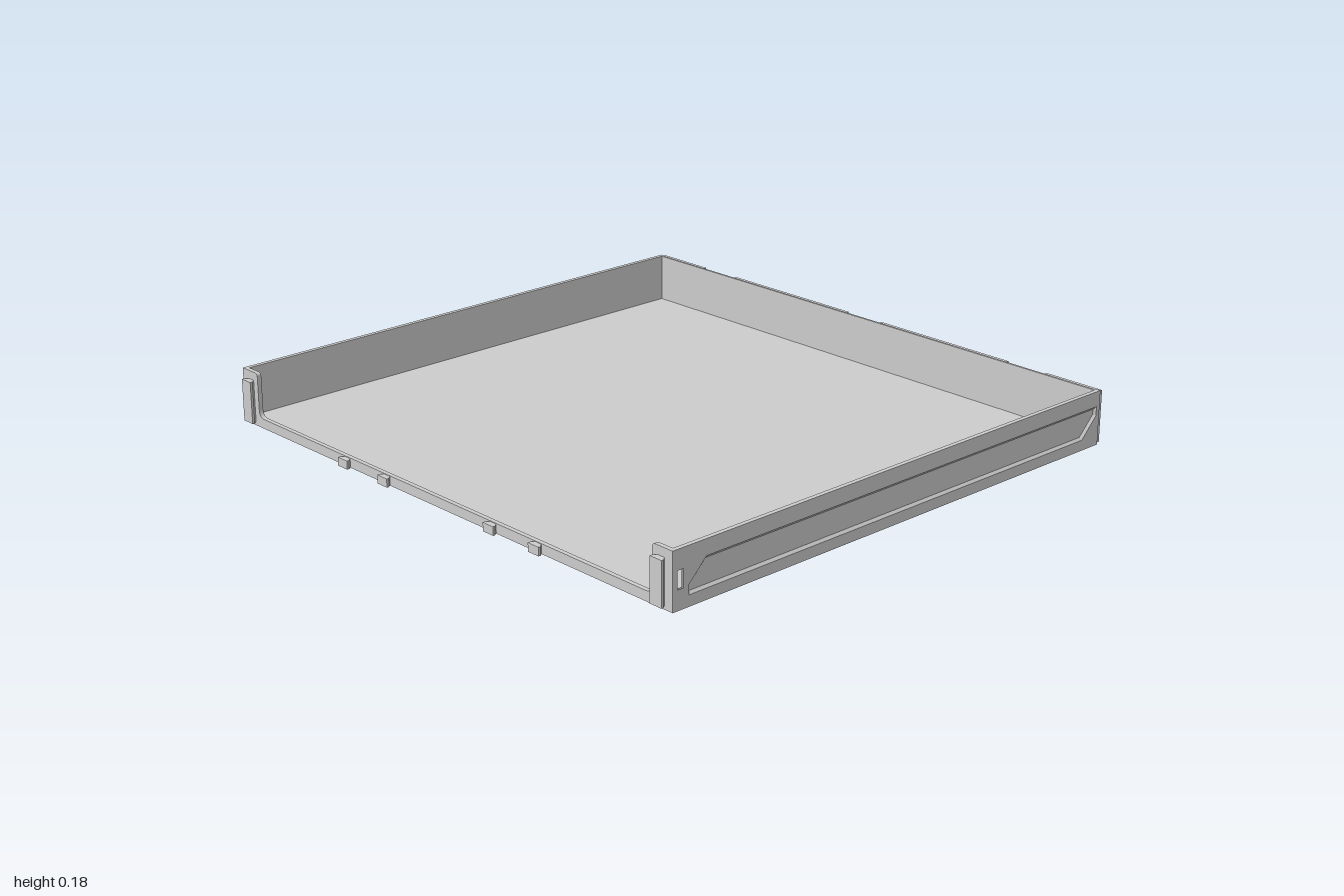
import * as THREE from 'three';

const grey = new THREE.MeshStandardMaterial({ color: 0xcccccc, flatShading: true });
const greyDouble = new THREE.MeshStandardMaterial({ color: 0xcccccc, flatShading: true, side: THREE.DoubleSide });

const H = 0.18; // wall height
const rect = (x0, y0, x1, y1) => [[x0, y0], [x1, y0], [x1, y1], [x0, y1]];
const toShape = (pts, Type = THREE.Shape) => new Type(pts.map(([x, y]) => new THREE.Vector2(x, y)));

function mesh(name, geometry, material = grey) {
  const m = new THREE.Mesh(geometry, material);
  m.name = name;
  return m;
}

// Flat plate from z0 to z1 with holes
function plate(name, outline, holes, z0, z1) {
  const shape = toShape(outline);
  holes.forEach((h) => shape.holes.push(toShape(h, THREE.Path)));
  const g = new THREE.ExtrudeGeometry(shape, { depth: z1 - z0, bevelEnabled: false });
  return mesh(name, g.translate(0, 0, z0));
}

// Sloped skirt from an outline at the surface to a smaller one at depth
function skirt(name, outer, inner, zOuter, zInner, openLast = false) {
  const pos = [];
  const n = outer.length;
  for (let i = 0; i < (openLast ? n - 1 : n); i++) {
    const j = (i + 1) % n;
    const a = [...outer[i], zOuter], b = [...outer[j], zOuter];
    const c = [...inner[j], zInner], d = [...inner[i], zInner];
    pos.push(...a, ...b, ...c, ...a, ...c, ...d);
  }
  const g = new THREE.BufferGeometry();
  g.setAttribute('position', new THREE.Float32BufferAttribute(pos, 3));
  g.computeVertexNormals();
  return mesh(name, g, greyDouble);
}

// Rectangle with cut corners: b for the bottom pair, t for the top pair
const cutRect = (x0, y0, x1, y1, b, t) => [
  [x0 + b, y0], [x1 - b, y0], [x1, y0 + b], [x1, y1 - t],
  [x1 - t, y1], [x0 + t, y1], [x0, y1 - t], [x0, y0 + b],
];

// Side wall with a long recessed panel and a slot near the front; local +z is outward
function sideWall(s) {
  const g = new THREE.Group();
  g.name = s > 0 ? 'leftWall' : 'rightWall';
  const flip = (pts) => pts.map(([z, y]) => [-s * z, y]);
  const outline = flip(rect(-0.915, 0, 0.91, H));
  const slot = flip(rect(0.87, 0.062, 0.892, 0.118));
  const panel = flip([[0.85, 0.035], [0.85, 0.065], [0.785, 0.13], [-0.9, 0.13], [-0.9, 0.1], [-0.835, 0.035]]);
  const inset = flip([[0.842, 0.043], [0.842, 0.062], [0.781, 0.121], [-0.893, 0.121], [-0.893, 0.103], [-0.832, 0.043]]);
  g.add(plate('wallInner', outline, [slot], 0.985, 0.992));
  g.add(plate('wallOuter', outline, [slot, panel], 0.992, 1));
  g.add(skirt('panelBevel', panel, inset, 1, 0.992));
  g.rotation.y = s * Math.PI / 2;
  return g;
}

// Back wall with four bevelled pockets and three upright grooves
function backWall() {
  const g = new THREE.Group();
  g.name = 'backWall';
  const zIn = 0.911, zOut = 0.93, y0 = 0.004, top = 0.176;
  const grooves = [-0.7, 0, 0.7];
  const outline = [[-0.995, y0], [0.995, y0], [0.995, top]];
  for (const x of [...grooves].reverse()) {
    outline.push([x + 0.08, top], [x + 0.08, 0.015], [x - 0.08, 0.015], [x - 0.08, top]);
    const wide = [[x - 0.08, top], [x - 0.08, 0.015], [x + 0.08, 0.015], [x + 0.08, top]];
    const narrow = [[x - 0.062, top], [x - 0.062, 0.02], [x + 0.062, 0.02], [x + 0.062, top]];
    g.add(skirt('grooveBevel', wide, narrow, zOut, zIn, true));
  }
  outline.push([-0.995, top]);
  const holes = [];
  for (const [x0, x1] of [[-0.975, -0.795], [-0.605, -0.095], [0.095, 0.605], [0.795, 0.975]]) {
    const outer = cutRect(x0, 0.018, x1, 0.162, 0.03, 0.008);
    const inner = cutRect(x0 + 0.016, 0.055, x1 - 0.016, 0.15, 0.03, 0.008);
    holes.push(outer);
    g.add(skirt('pocketBevel', outer, inner, zOut, zIn));
  }
  g.add(plate('backInner', rect(-0.985, 0, 0.985, H), [], 0.903, zIn));
  g.add(plate('backOuter', outline, holes, zIn, zOut));
  g.rotation.y = Math.PI;
  return g;
}

// Low front lip rising to a rounded post at each corner
function frontWall() {
  const w = 0.985, c = 0.92, lip = 0.032, r = 0.025;
  const s = new THREE.Shape();
  s.moveTo(-w, 0).lineTo(w, 0).lineTo(w, H).lineTo(c + 0.012, H);
  s.quadraticCurveTo(c, H, c, H - 0.012).lineTo(c, lip + r);
  s.quadraticCurveTo(c, lip, c - r, lip).lineTo(-c + r, lip);
  s.quadraticCurveTo(-c, lip, -c, lip + r).lineTo(-c, H - 0.012);
  s.quadraticCurveTo(-c, H, -c - 0.012, H).lineTo(-w, H).lineTo(-w, 0);
  const g = new THREE.ExtrudeGeometry(s, { depth: 0.015, bevelEnabled: false, curveSegments: 6 });
  return mesh('frontWall', g.translate(0, 0, 0.895));
}

// Dovetail clip, wider at its outer face
function clip(name, x, y0, y1) {
  const plan = toShape([[-0.013, 0], [0.013, 0], [0.023, -0.012], [0.023, -0.02], [-0.023, -0.02], [-0.023, -0.012]]);
  const g = new THREE.ExtrudeGeometry(plan, { depth: y1 - y0, bevelEnabled: false });
  g.rotateX(-Math.PI / 2);
  return mesh(name, g.translate(x, y0, 0.91));
}

export function createModel() {
  const tray = new THREE.Group();
  tray.name = 'tray';

  const floor = mesh('floor', new THREE.BoxGeometry(1.97, 0.018, 1.798));
  floor.position.set(0, 0.009, -0.004);
  tray.add(floor, sideWall(1), sideWall(-1), backWall(), frontWall());

  for (const s of [-1, 1]) {
    tray.add(clip('cornerClip', s * 0.955, 0.012, 0.152));
    for (const x of [0.25, 0.45]) tray.add(clip('lipClip', s * x, 0.002, 0.03));
  }
  return tray;
}
